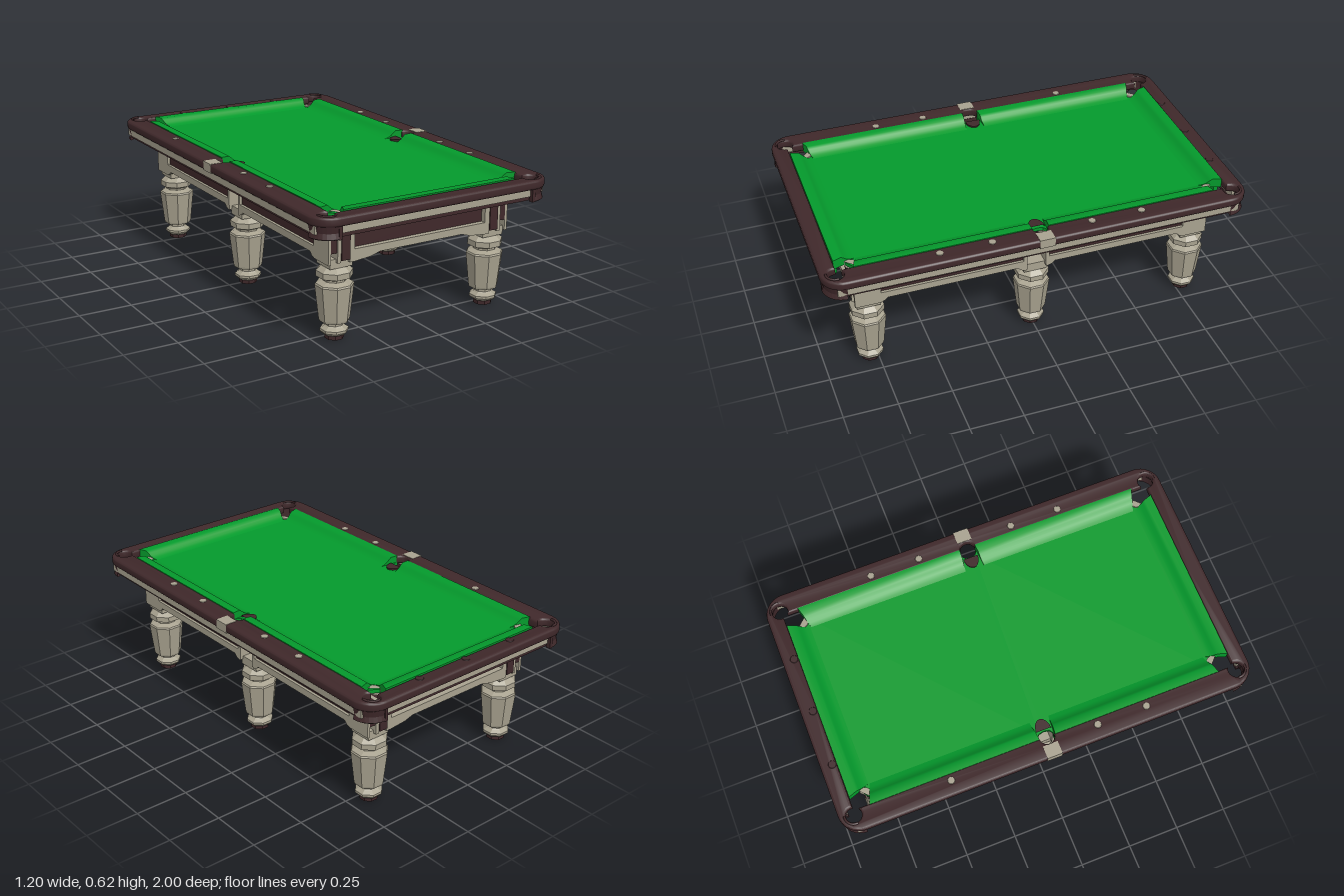
import * as THREE from 'three';
import { toCreasedNormals } from 'three/addons/utils/BufferGeometryUtils.js';

const mat = (name, color) => {
  const m = new THREE.MeshStandardMaterial({ color, side: THREE.DoubleSide });
  m.name = name;
  return m;
};

export function createModel() {
  const maroon = mat('maroon wood', 0x3f282a);
  const beige = mat('pale stone wood', 0xa8a28f);
  const green = mat('green cloth', 0x049a2c);
  const table = new THREE.Group();
  table.name = 'billiardTable';

  const add = (name, geo, material, parent = table) => {
    const m = new THREE.Mesh(geo, material);
    m.name = name;
    parent.add(m);
    return m;
  };
  // box from its limits on each axis
  const box = (name, material, x0, x1, y0, y1, z0, z1, parent = table) => {
    const g = new THREE.BoxGeometry(Math.abs(x1 - x0), y1 - y0, Math.abs(z1 - z0));
    g.translate((x0 + x1) / 2, (y0 + y1) / 2, (z0 + z1) / 2);
    return add(name, g, material, parent);
  };
  const flat = (g) => {
    const f = g.toNonIndexed();
    f.computeVertexNormals();
    return f;
  };
  const arc = (cx, cy, r, a0, a1, n) => Array.from({ length: n + 1 }, (_, i) => {
    const a = a0 + (a1 - a0) * i / n;
    return [cx + r * Math.cos(a), cy + r * Math.sin(a)];
  });
  const vecs = (points) => points.map(([x, y]) => new THREE.Vector2(x, y));
  // closed outline from one quadrant, mirrored four ways
  const mirrorQuad = (q) => {
    const r = [...q].reverse();
    return vecs([
      ...q, ...r.map(([x, y]) => [-x, y]),
      ...q.map(([x, y]) => [-x, -y]), ...r.map(([x, y]) => [x, -y]),
    ].filter((p, i, all) => {
      const b = all[(i + 1) % all.length];
      return Math.hypot(p[0] - b[0], p[1] - b[1]) > 1e-5;
    }));
  };
  const extrudeUp = (shape, y0, h, bevel = 0) => {
    const g = new THREE.ExtrudeGeometry(shape, {
      depth: h - 2 * bevel, bevelEnabled: bevel > 0, bevelSize: bevel,
      bevelThickness: bevel, bevelOffset: -bevel, bevelSegments: 3,
    });
    g.rotateX(-Math.PI / 2);
    g.translate(0, y0 + bevel, 0);
    return toCreasedNormals(g, 0.7);
  };

  // Rail frame with rounded corners and pocket openings
  const rail = new THREE.Shape(mirrorQuad([[0.6, 0], ...arc(0.5, 0.9, 0.1, 0, Math.PI / 2, 8), [0, 1]]));
  rail.holes.push(new THREE.Path(mirrorQuad([
    ...arc(0.5, 0, 0.036, 0, Math.PI / 2, 5),
    ...arc(0.522, 0.932, 0.037, -2.2, 3.3, 16),
    [0, 0.925],
  ])));
  add('railFrame', extrudeUp(rail, 0.574, 0.041, 0.01), maroon);

  // Cloth covered bed with cut pocket corners
  const bed = new THREE.Shape(mirrorQuad([
    [0.465, 0], [0.47, 0.025], [0.485, 0.036], [0.505, 0.036], [0.505, 0.835],
    [0.47, 0.835], [0.41, 0.875], [0.41, 0.925], [0, 0.925],
  ]));
  add('bed', extrudeUp(bed, 0.566, 0.017), green);

  // Cloth covered rim hanging below the bed edge
  for (const sx of [-1, 1]) {
    for (const sz of [-1, 1]) box('bedSideRim', green, sx * 0.485, sx * 0.505, 0.525, 0.57, sz * 0.038, sz * 0.835);
    box('bedEndRim', green, -0.41, 0.41, 0.525, 0.57, sx * 0.905, sx * 0.925);
  }

  // Cushions: rounded nose falling to the bed, ends cut back towards the nose
  const section = new THREE.Shape(vecs([
    [0, 0.572], [0, 0.618], [-0.04, 0.618], [-0.052, 0.608], [-0.064, 0.597], [-0.08, 0.588], [-0.1, 0.583], [-0.1, 0.572],
  ]));
  const cushion = (start, end, cut0, cut1) => {
    const g = new THREE.ExtrudeGeometry(section, { depth: 1, bevelEnabled: false });
    const p = g.attributes.position;
    for (let i = 0; i < p.count; i++) {
      const t = -p.getX(i) / 0.1;
      p.setZ(i, p.getZ(i) < 0.5 ? start + cut0 * t : end - cut1 * t);
    }
    return toCreasedNormals(g, 0.75);
  };
  for (const turn of [0, Math.PI]) {
    for (const [a, b, c, d] of [[0.038, 0.85, 0.008, 0.03], [-0.85, -0.038, 0.03, 0.008]]) {
      add('sideCushion', cushion(a, b, c, d).translate(0.505, 0, 0).rotateY(turn), green);
    }
    add('endCushion', cushion(-0.44, 0.44, 0.035, 0.035).translate(0.925, 0, 0).rotateY(turn + Math.PI / 2), green);
  }

  // Leg profile: foot, ankle, tapered body, neck and collar
  const octagon = (points) => flat(new THREE.LatheGeometry(
    vecs(points.map(([r, y]) => [r / Math.cos(Math.PI / 8), y])), 8, Math.PI / 8));
  const legGeo = octagon([
    [0.039, 0.018], [0.05, 0.024], [0.058, 0.034], [0.058, 0.045], [0.042, 0.056],
    [0.037, 0.062], [0.037, 0.08], [0.06, 0.08], [0.063, 0.09], [0.079, 0.245],
    [0.075, 0.252], [0.048, 0.264], [0.048, 0.272], [0.074, 0.284], [0.074, 0.31],
    [0.05, 0.333], [0, 0.335],
  ]);
  const footGeo = octagon([[0, 0], [0.039, 0], [0.039, 0.019]]);
  for (const sx of [-1, 1]) for (const z of [-0.785, 0, 0.785]) {
    const leg = new THREE.Group();
    leg.name = 'leg';
    leg.position.set(sx * 0.398, 0, z);
    table.add(leg);
    add('turnedLeg', legGeo, beige, leg);
    add('footPad', footGeo, maroon, leg);
    box('legCap', beige, -0.055, 0.055, 0.333, 0.375, -0.055, 0.055, leg);
  }

  // Leg brackets and side aprons, stopping short of the bed
  const top = 0.522;
  for (const sx of [-1, 1]) for (const sz of [-1, 1]) {
    box('middlePlate', beige, sx * 0.36, sx * 0.468, 0.36, top, sz * 0.045, sz * 0.062);
    box('innerPostPlate', beige, sx * 0.34, sx * 0.365, 0.355, top, sz * 0.73, sz * 0.855);
    box('postPanel', maroon, sx * 0.365, sx * 0.408, 0.37, top, sz * 0.74, sz * 0.86);
    box('middlePostPlate', beige, sx * 0.408, sx * 0.425, 0.36, top, sz * 0.74, sz * 0.855);
    box('outerPostPlate', beige, sx * 0.455, sx * 0.468, 0.355, top, sz * 0.73, sz * 0.85);
    box('sideApron', maroon, sx * 0.425, sx * 0.455, 0.405, top, sz * 0.06, sz * 0.85);
  }
  for (const s of [-1, 1]) box('endApron', maroon, -0.345, 0.345, 0.405, top, s * 0.8, s * 0.83);

  // Shaped lower stretchers, deeper where they meet the legs
  const stretcher = (a, b, ramp, depth) => new THREE.ExtrudeGeometry(new THREE.Shape(vecs([
    [a, 0.41], [a, 0.355], [a + ramp * 0.65, 0.363], [a + ramp, 0.377],
    [b - ramp, 0.377], [b - ramp * 0.65, 0.363], [b, 0.355], [b, 0.41],
  ])), { depth, bevelEnabled: false });
  for (const turn of [0, Math.PI]) {
    add('endStretcher', stretcher(-0.345, 0.345, 0.13, 0.045).translate(0, 0, 0.81).rotateY(turn), beige);
    for (const [a, b] of [[-0.74, -0.05], [0.05, 0.74]]) {
      add('sideStretcher', stretcher(a, b, 0.04, 0.04).translate(0, 0, 0.428).rotateY(turn + Math.PI / 2), beige);
    }
  }

  // Cabinet trim under the rails
  for (const s of [-1, 1]) {
    box('endTrim', beige, -0.49, 0.49, 0.539, 0.576, s * 0.955, s * 0.978);
    box('endLowerTrim', maroon, -0.5, 0.5, 0.52, 0.54, s * 0.955, s * 0.967);
    box('sideTrim', beige, s * 0.566, s * 0.588, 0.539, 0.576, -0.942, 0.942);
    box('sideLowerTrim', maroon, s * 0.564, s * 0.576, 0.524, 0.54, -0.9, 0.9);
  }

  // Corner castings, pocket rims and pocket lips
  const casting = vecs([[0.077, 0.522], [0.09, 0.517], [0.095, 0.521], [0.088, 0.545], [0.094, 0.576], [0.077, 0.576], [0.077, 0.522]]);
  [[1, 1], [1, -1], [-1, -1], [-1, 1]].forEach(([sx, sz], i) => {
    const c = add('cornerCasting', flat(new THREE.LatheGeometry(casting, 8, i * Math.PI / 2, Math.PI / 2)), maroon);
    c.position.set(sx * 0.5, 0, sz * 0.9);
    box('castingEnd', maroon, sx * 0.488, sx * 0.503, 0.517, 0.576, sz * 0.972, sz * 0.994);
    const rim = new THREE.TorusGeometry(0.042, 0.006, 6, 14, Math.PI * 0.6);
    rim.rotateZ(-Math.PI * 0.05).rotateX(Math.PI / 2);
    const r = add('cornerPocketRim', rim, maroon);
    r.position.set(sx * 0.522, 0.615, sz * 0.932);
    r.scale.set(sx, 1, sz);
    const lip = new THREE.CylinderGeometry(0.03, 0.03, 0.03, 12, 1, false, Math.PI * 0.75, Math.PI);
    const l = add('cornerPocketLip', lip, beige);
    l.position.set(sx * 0.445, 0.575, sz * 0.853);
    l.scale.set(sx, 1, sz);
  });

  // Side pockets: bridge across the rail, and a leather lip
  for (const s of [-1, 1]) {
    box('sidePocketBridge', beige, s * 0.54, s * 0.601, 0.573, 0.6165, -0.036, 0.036);
    const pad = new THREE.CylinderGeometry(0.036, 0.032, 0.03, 14, 1, false, Math.PI, Math.PI);
    const p = add('sidePocketLip', pad, maroon);
    p.position.set(s * 0.462, 0.577, 0);
    p.scale.x = s * 1.5;
  }

  // Sight studs set into the rails
  const stud = (x, z, material, r) => {
    add('sightStud', new THREE.CylinderGeometry(r * 0.8, r, 0.006, 12), material).position.set(x, 0.614, z);
  };
  for (const x of [-0.27, 0, 0.27]) stud(x, -0.945, maroon, 0.022);
  for (const s of [-1, 1]) for (const z of [-0.475, s * -0.235, 0.235, 0.475]) stud(s * 0.535, z, beige, 0.02);

  return table;
}
